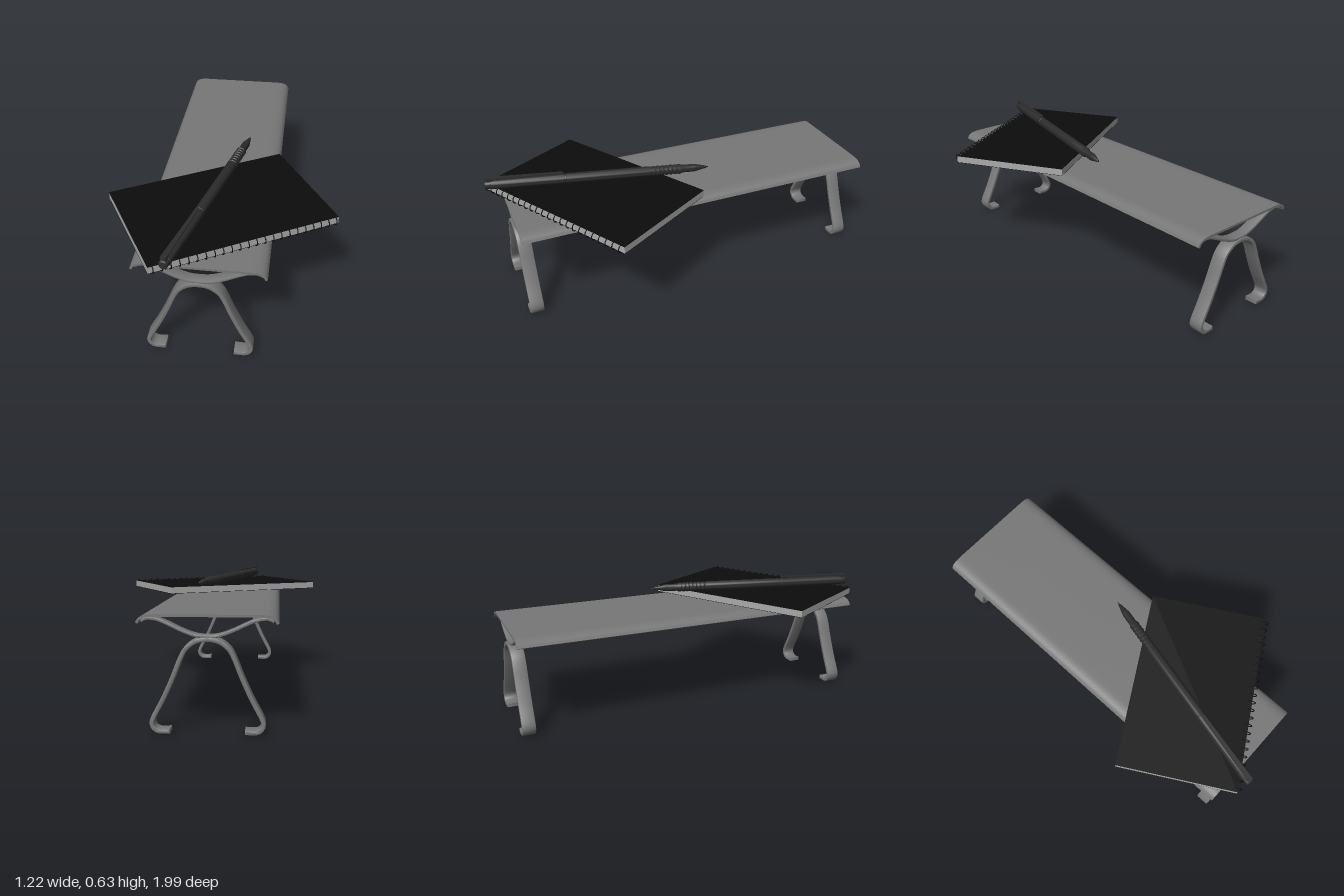
import * as THREE from 'three';
import { toCreasedNormals } from 'three/addons/utils/BufferGeometryUtils.js';

const steel = new THREE.MeshStandardMaterial({ color: 0x777777, side: THREE.DoubleSide });
const paper = new THREE.MeshStandardMaterial({ color: 0xaaaaaa });
const coverBlack = new THREE.MeshStandardMaterial({ color: 0x0c0c0c });
const penBlack = new THREE.MeshStandardMaterial({ color: 0x2c2c2c });

function add(parent, name, geometry, material, x = 0, y = 0, z = 0) {
  const mesh = new THREE.Mesh(geometry, material);
  mesh.name = name;
  mesh.position.set(x, y, z);
  parent.add(mesh);
  return mesh;
}

// Bent strip: half a profile (from the centre outwards) is mirrored,
// thickened along its normals and extruded along z.
function bentStrip(half, thickness, depth, bevel, steps) {
  const left = half.slice(1).reverse().map(([x, y]) => new THREE.Vector2(-x, y));
  const right = half.map(([x, y]) => new THREE.Vector2(x, y));
  const curve = new THREE.SplineCurve([...left, ...right]);
  const upper = [], lower = [];
  const t = thickness / 2 - bevel;
  for (let i = 0; i <= steps; i++) {
    const p = curve.getPointAt(i / steps);
    const d = curve.getTangentAt(i / steps);
    upper.push(new THREE.Vector2(p.x - d.y * t, p.y + d.x * t));
    lower.push(new THREE.Vector2(p.x + d.y * t, p.y - d.x * t));
  }
  const geometry = new THREE.ExtrudeGeometry(new THREE.Shape([...lower, ...upper.reverse()]), {
    depth: depth - 2 * bevel,
    bevelEnabled: bevel > 0,
    bevelSize: bevel,
    bevelThickness: bevel,
    bevelSegments: 2,
  });
  geometry.translate(0, 0, -depth / 2 + bevel);
  return toCreasedNormals(geometry, 0.7);
}

function createBench() {
  const bench = new THREE.Group();
  bench.name = 'bench';

  // Seat with both long edges rolled down
  const seat = [[0, 0.521], [0.12, 0.521], [0.23, 0.521], [0.26, 0.519], [0.28, 0.513], [0.294, 0.503], [0.302, 0.488]];
  add(bench, 'seat', bentStrip(seat, 0.011, 1.896, 0, 64), steel);

  // Arched legs with inward feet, and the curved yoke that carries the seat
  const arch = [[0, 0.418], [0.05, 0.409], [0.092, 0.378], [0.118, 0.332], [0.148, 0.256], [0.192, 0.158],
    [0.232, 0.082], [0.244, 0.05], [0.236, 0.025], [0.212, 0.011], [0.168, 0.012]];
  const yoke = [[0, 0.43], [0.05, 0.434], [0.11, 0.455], [0.18, 0.488], [0.22, 0.503], [0.26, 0.507], [0.283, 0.497]];
  const archGeometry = bentStrip(arch, 0.02, 0.07, 0.005, 80);
  const yokeGeometry = bentStrip(yoke, 0.014, 0.055, 0.004, 48);
  for (const [name, z] of [['front', 0.908], ['back', -0.908]]) {
    add(bench, name + 'Legs', archGeometry, steel, 0, 0, z);
    add(bench, name + 'Yoke', yokeGeometry, steel, 0, 0, z);
  }
  bench.position.x = 0.026;
  bench.rotation.y = -0.307;
  return bench;
}

function createNotebook() {
  const notebook = new THREE.Group();
  notebook.name = 'notebook';
  const w = 0.942, d = 0.614;
  add(notebook, 'pages', new THREE.BoxGeometry(w, 0.034, d), paper, 0, 0.019, 0);
  add(notebook, 'backCover', new THREE.BoxGeometry(w, 0.002, d), coverBlack, 0, 0.001, 0);
  add(notebook, 'frontCover', new THREE.BoxGeometry(w, 0.002, d), coverBlack, 0, 0.037, 0);

  // Binding rings along the front edge
  const ring = new THREE.TorusGeometry(0.021, 0.0025, 6, 20).rotateY(Math.PI / 2);
  const count = 23;
  for (let i = 0; i < count; i++) {
    const x = (i / (count - 1) - 0.5) * (w - 0.04);
    add(notebook, 'bindingRing', ring, coverBlack, x, 0.022, d / 2 - 0.002);
  }
  notebook.position.set(-0.084, 0.527, 0.504);
  notebook.rotation.y = 0.219;
  return notebook;
}

function createPen() {
  const pen = new THREE.Group();
  pen.name = 'pen';
  // Barrel profile (radius, distance from the butt), with a ribbed grip
  const profile = [[0, 0], [0.018, 0], [0.022, 0.006], [0.022, 0.03], [0.025, 0.032], [0.026, 0.4], [0.0245, 0.402],
    [0.0245, 0.408], [0.026, 0.41], [0.026, 0.84]];
  for (let i = 0; i < 7; i++) {
    const s = 0.85 + i * 0.022;
    profile.push([0.023, s], [0.023, s + 0.005], [0.026, s + 0.008], [0.026, s + 0.017]);
  }
  profile.push([0.02, 1.012], [0.02, 1.075], [0.017, 1.09], [0.006, 1.14], [0.003, 1.143], [0, 1.157]);
  const barrel = new THREE.LatheGeometry(profile.map(([r, s]) => new THREE.Vector2(r, s)), 28);
  barrel.rotateX(-Math.PI / 2);
  add(pen, 'barrel', toCreasedNormals(barrel, 0.6), penBlack);

  // Tapered pocket clip on top of the cap
  const clip = new THREE.Shape([[-0.014, 0], [0.014, 0], [0.008, 0.38], [0, 0.395], [-0.008, 0.38]]
    .map(([x, y]) => new THREE.Vector2(x, y)));
  const clipGeometry = new THREE.ExtrudeGeometry(clip, { depth: 0.005, bevelEnabled: false }).rotateX(-Math.PI / 2);
  add(pen, 'clip', clipGeometry, penBlack, 0, 0.032, -0.005);
  add(pen, 'clipMount', new THREE.BoxGeometry(0.024, 0.016, 0.03), penBlack, 0, 0.026, -0.025);

  pen.position.set(-0.415, 0.594, 0.94);
  pen.rotation.y = -Math.atan2(0.598, 0.99);
  return pen;
}

export function createModel() {
  const model = new THREE.Group();
  model.name = 'benchWithNotebookAndPen';
  model.add(createBench(), createNotebook(), createPen());
  return model;
}
